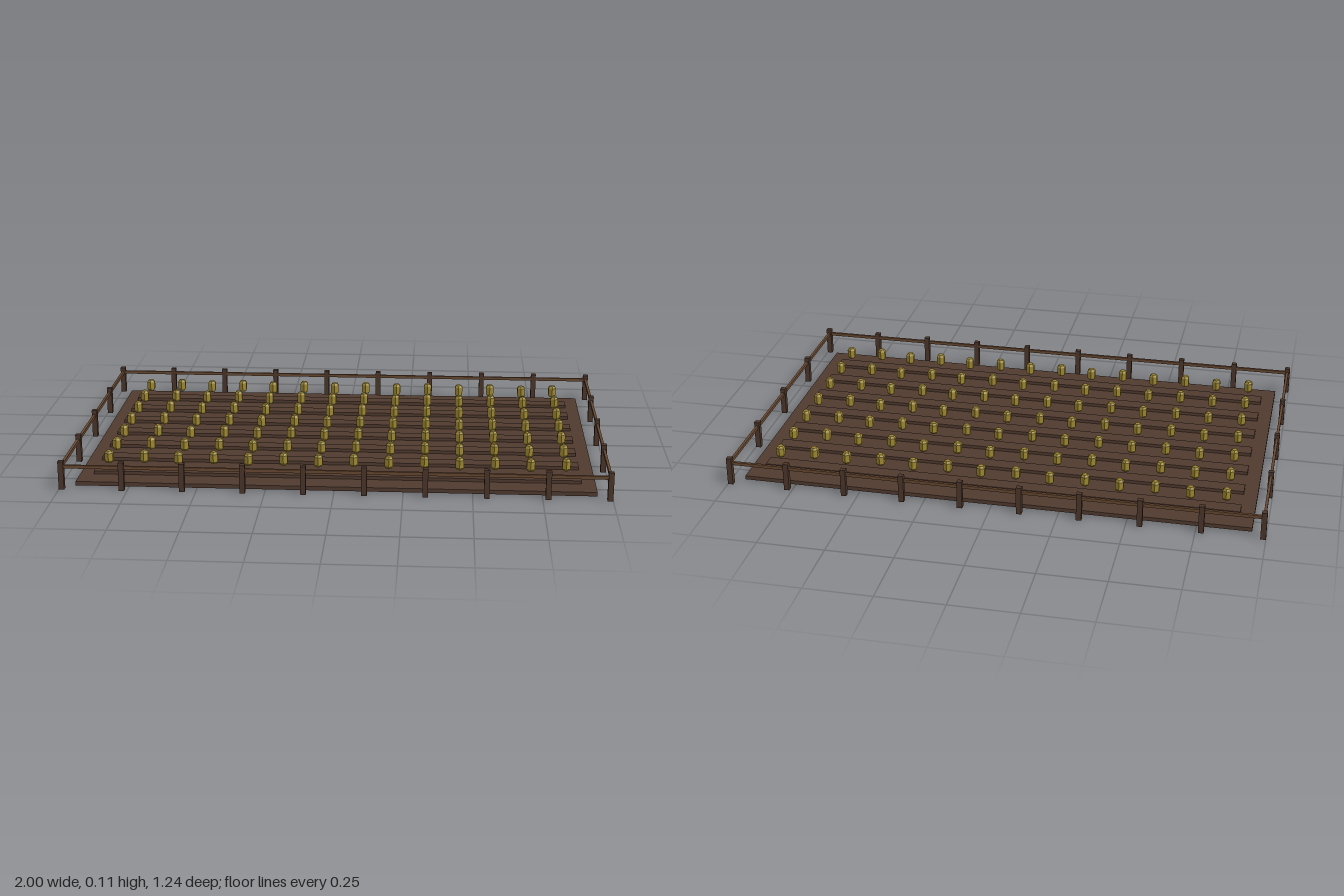
import * as THREE from 'three';

export function createModel() {
  const model = new THREE.Group();
  model.name = 'fencedField';

  const material = (name, color) => {
    const m = new THREE.MeshStandardMaterial({ color, flatShading: true });
    m.name = name;
    return m;
  };
  const soil = material('soil brown', 0x4f3a2e);
  const postWood = material('post wood', 0x4a3529);
  const railWood = material('rail wood', 0x664730);
  const cropGold = material('crop gold', 0x9c8630);

  const add = (name, geometry, mat, x, y, z) => {
    const mesh = new THREE.Mesh(geometry, mat);
    mesh.name = name;
    mesh.position.set(x, y, z);
    model.add(mesh);
  };
  const box = (name, mat, w, h, d, x, y, z) =>
    add(name, new THREE.BoxGeometry(w, h, d), mat, x, y, z);

  // Soil bed
  box('soilBed', soil, 1.896, 0.015, 1.14, 0, 0.0075, 0);

  // Planting ridges, each with a row of crops staggered about its middle
  const head = new THREE.LatheGeometry([
    [0, -0.023], [0.011, -0.023], [0.0175, -0.015],
    [0.0175, 0.015], [0.011, 0.023], [0, 0.023],
  ].map(([r, y]) => new THREE.Vector2(r, y)), 6);
  for (let row = -3; row <= 3; row++) {
    const z = row * 0.1523;
    box('ridge', soil, 1.794, 0.013, 0.056, 0, 0.0205, z);
    for (let i = 0; i < 14; i++) {
      add('cropHead', head, cropGold, -0.842 + i * 0.1295, 0.077, z + (i % 2 ? -0.006 : 0.006));
    }
  }

  // Fence posts along the long and short sides
  const X = 0.99, Z = 0.608, H = 0.107;
  const post = (x, z) => box('fencePost', postWood, 0.02, H, 0.02, x, H / 2, z);
  for (const side of [-1, 1]) {
    for (let i = 0; i <= 9; i++) post(-X + (i * 2 * X) / 9, side * Z);
    for (let i = 1; i <= 3; i++) post(side * X, -Z + (i * 2 * Z) / 4);

    // Rails
    box('longRail', railWood, 2 * X, 0.012, 0.01, 0, 0.086, side * Z);
    box('shortRail', railWood, 0.01, 0.012, 2 * Z, side * X, 0.086, 0);
  }

  return model;
}
